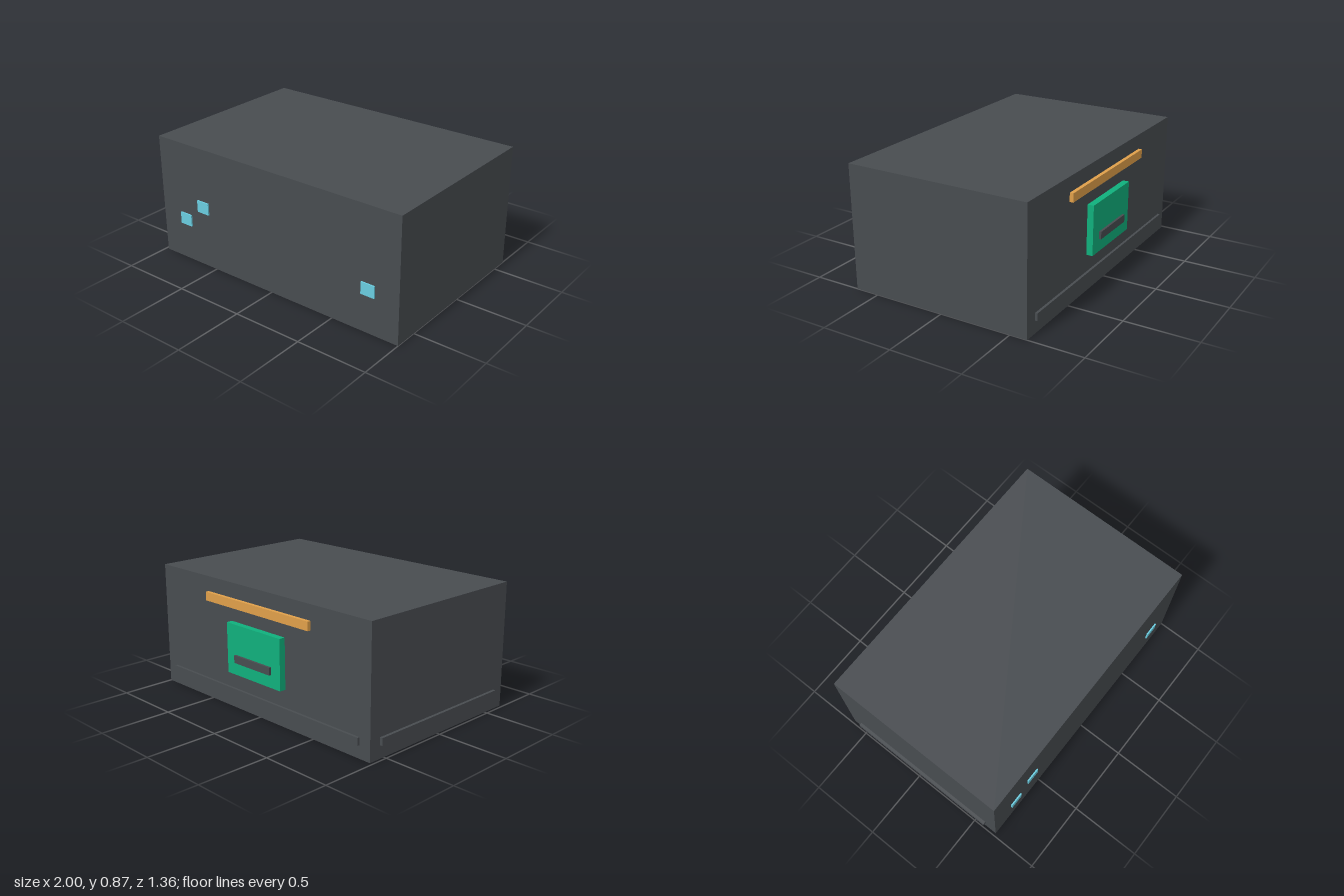
import * as THREE from 'three';

export function createModel() {
  const model = new THREE.Group();
  const paint = (color) => new THREE.MeshStandardMaterial({ color });
  const dark = paint(0x484c50);
  const amber = paint(0xe0a04a);
  const green = paint(0x10b07c);
  const blue = paint(0x6acde0);

  // Box given by its lower and upper limits on each axis
  const addBox = (name, material, [x0, x1], [y0, y1], [z0, z1]) => {
    const mesh = new THREE.Mesh(new THREE.BoxGeometry(x1 - x0, y1 - y0, z1 - z0), material);
    mesh.position.set((x0 + x1) / 2, (y0 + y1) / 2, (z0 + z1) / 2);
    mesh.name = name;
    model.add(mesh);
  };

  // Main housing
  addBox('housing', dark, [-0.98, 1], [0, 0.865], [-0.62, 0.67]);

  // Back face: bar, raised panel with its handle, and low trim
  addBox('upperBar', amber, [-0.485, 0.505], [0.702, 0.762], [-0.645, -0.61]);
  addBox('backPanel', green, [-0.25, 0.265], [0.26, 0.605], [-0.664, -0.61]);
  addBox('panelHandle', dark, [-0.165, 0.18], [0.348, 0.4], [-0.68, -0.65]);
  addBox('backTrim', dark, [-0.895, 0.91], [0.088, 0.139], [-0.637, -0.61]);

  // Low trim on the right side
  addBox('sideTrim', dark, [-1, -0.97], [0.088, 0.139], [-0.535, 0.582]);

  // Small front tiles
  for (const [x, y] of [[-0.76, 0.307], [-0.59, 0.442], [0.775, 0.307]]) {
    addBox('frontTile', blue, [x - 0.05, x + 0.05], [y - 0.042, y + 0.042], [0.66, 0.68]);
  }

  return model;
}
